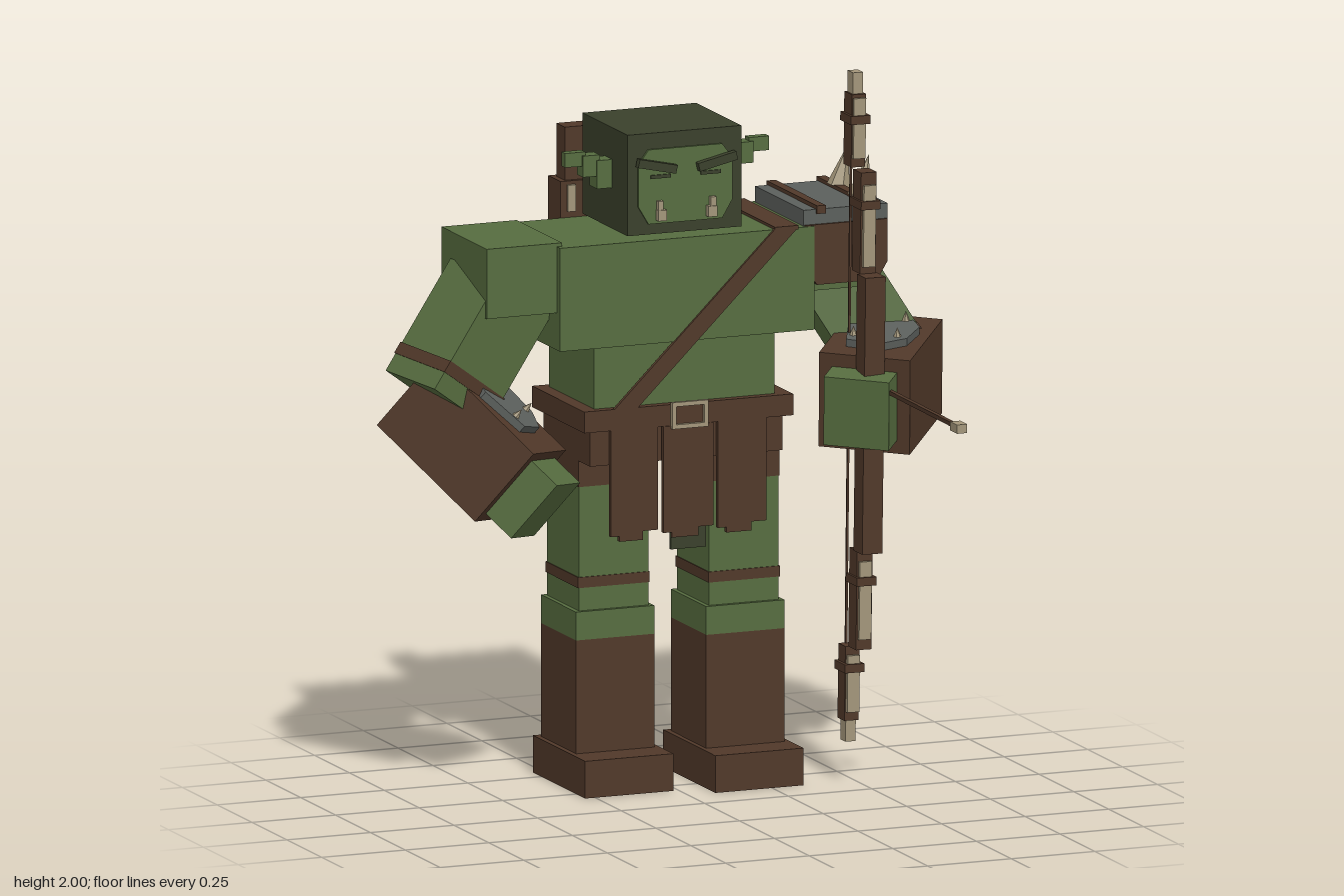
import * as THREE from 'three';

const material = (name, color) => {
  const m = new THREE.MeshStandardMaterial({ color });
  m.name = name;
  return m;
};

export function createModel() {
  const model = new THREE.Group();
  model.name = 'ogreArcher';
  const skin = material('green skin', 0x566c3f);
  const hood = material('dark green', 0x3a402b);
  const leather = material('brown leather', 0x503829);
  const iron = material('grey iron', 0x5b5f5c);
  const bone = material('bone', 0xa3967a);
  const V = (x, y, z) => new THREE.Vector3(x, y, z);

  const add = (name, geometry, mat, parent = model) => {
    const mesh = new THREE.Mesh(geometry, mat);
    mesh.name = name;
    parent.add(mesh);
    return mesh;
  };
  // Box given by its extents on each axis
  const box = (name, mat, x0, x1, y0, y1, z0, z1, parent) => {
    const mesh = add(name, new THREE.BoxGeometry(x1 - x0, y1 - y0, z1 - z0), mat, parent);
    mesh.position.set((x0 + x1) / 2, (y0 + y1) / 2, (z0 + z1) / 2);
    return mesh;
  };
  // Box running from a to b
  const bar = (name, mat, a, b, w, d) => {
    const dir = b.clone().sub(a);
    const mesh = add(name, new THREE.BoxGeometry(w, dir.length(), d), mat);
    mesh.position.copy(a).add(b).multiplyScalar(0.5);
    mesh.quaternion.setFromUnitVectors(V(0, 1, 0), dir.normalize());
    return mesh;
  };
  // Flat polygon, front at z
  const plate = (name, mat, points, z, depth, parent) => {
    const shape = new THREE.Shape(points.map(([x, y]) => new THREE.Vector2(x, y)));
    const mesh = add(name, new THREE.ExtrudeGeometry(shape, { depth, bevelEnabled: false }), mat, parent);
    mesh.position.z = z - depth;
    return mesh;
  };
  const spike = (name, r, h, parent) => {
    const g = new THREE.ConeGeometry(r, h, 6).toNonIndexed();
    g.translate(0, h / 2, 0);
    g.computeVertexNormals();
    return add(name, g, bone, parent);
  };

  // Legs, the left one a little ahead; f is the front of the boot
  for (const [side, c, f] of [['right', -0.148, -0.287], ['left', 0.212, -0.217]]) {
    const part = (name, mat, w, y0, y1, z0, z1) => box(side + name, mat, c - w, c + w, y0, y1, f + z0, f + z1);
    part('Foot', leather, 0.132, 0, 0.105, -0.273, 0.101);
    part('Boot', leather, 0.117, 0.105, 0.425, -0.253, 0);
    part('Knee', skin, 0.117, 0.425, 0.505, -0.253, 0);
    part('Thigh', skin, 0.104, 0.505, 0.86, -0.24, -0.012);
    part('ThighBand', leather, 0.107, 0.57, 0.6, -0.243, -0.009);
    part('Shorts', leather, 0.106, 0.855, 0.94, -0.242, -0.01);
  }

  // Hips, belt and loincloth
  box('hips', leather, -0.255, 0.32, 0.93, 1.035, -0.545, -0.21);
  box('belt', leather, -0.28, 0.345, 1.03, 1.09, -0.567, -0.192);
  const flaps = [[-0.2, -0.06, 0.74], [-0.045, 0.105, 0.74], [0.12, 0.265, 0.74]];
  flaps.forEach(([x0, x1, y], i) => {
    plate('loinFlap', leather, [[x0, 1.03], [x0, y - 0.01], [x0 + 0.025, y - 0.01], [x0 + 0.025, y - 0.025],
      [x1 - 0.045, y - 0.025], [x1 - 0.045, y], [x1, y], [x1, 1.03]], -0.192 + (i === 1 ? 0.004 : 0), 0.014);
  });
  box('loinLining', hood, -0.02, 0.085, 0.68, 0.75, -0.205, -0.195);
  for (const y of [1.022, 1.085]) box('buckleBar', bone, -0.022, 0.087, y, y + 0.012, -0.192, -0.18);
  for (const x of [-0.022, 0.075]) box('buckleSide', bone, x, x + 0.012, 1.034, 1.085, -0.192, -0.18);
  box('boneKnife', bone, -0.15, -0.12, 0.835, 0.99, -0.55, -0.525);

  // Torso with diagonal strap
  box('belly', skin, -0.24, 0.3, 1.08, 1.27, -0.54, -0.217);
  box('chest', skin, -0.35, 0.41, 1.265, 1.557, -0.566, -0.197);
  for (const z of [-0.196, -0.572]) {
    plate('chestStrap', leather, [[-0.19, 1.09], [-0.12, 1.09], [0.36, 1.56], [0.29, 1.56]], z + 0.006, 0.012);
  }
  box('strapTop', leather, 0.29, 0.36, 1.553, 1.565, -0.578, -0.19);

  // Quiver
  box('quiver', leather, -0.195, -0.08, 1.18, 1.66, -0.655, -0.565);
  box('quiverTop', leather, -0.178, -0.097, 1.66, 1.81, -0.637, -0.577);
  for (const x of [-0.165, -0.105]) box('quiverPeg', bone, x - 0.012, x + 0.012, 1.575, 1.65, -0.568, -0.555);

  // Head
  box('head', hood, -0.14, 0.2, 1.57, 1.855, -0.54, -0.217);
  plate('face', skin, [[-0.08, 1.6], [0.14, 1.6], [0.17, 1.65], [0.17, 1.77], [0.14, 1.81],
    [-0.08, 1.81], [-0.11, 1.77], [-0.11, 1.65]], -0.21, 0.008);
  for (const s of [-1, 1]) {
    const brow = box('brow', hood, -0.058, 0.058, -0.012, 0.012, -0.01, 0.01);
    brow.position.set(0.03 + s * 0.09, 1.765, -0.2);
    brow.rotation.z = s * 0.22;
    box('eye', hood, 0.03 + s * 0.075 - 0.03, 0.03 + s * 0.075 + 0.03, 1.728, 1.738, -0.212, -0.206);
    const tuskX = 0.03 + s * 0.075;
    box('tuskBase', bone, tuskX - 0.013, tuskX + 0.013, 1.61, 1.64, -0.214, -0.192);
    box('tuskTip', bone, tuskX + s * 0.004 - 0.008, tuskX + s * 0.004 + 0.008, 1.64, 1.665, -0.212, -0.196);
    // Stepped ear
    const ear = (a, b, y0, y1, d) => box('ear', skin, 0.03 + Math.min(s * a, s * b), 0.03 + Math.max(s * a, s * b),
      y0, y1, -0.355 - d, -0.355 + d);
    ear(0.165, 0.215, 1.685, 1.765, 0.027);
    ear(0.205, 0.255, 1.72, 1.78, 0.022);
    ear(0.245, 0.305, 1.75, 1.79, 0.014);
  }

  // Shoulders and upper arms
  box('rightShoulder', skin, -0.56, -0.335, 1.37, 1.567, -0.545, -0.22);
  box('leftShoulder', skin, 0.4, 0.62, 1.37, 1.56, -0.545, -0.22);
  const upperArm = (side, x, y, z, rx, rz, yaw) => {
    const arm = new THREE.Group();
    arm.name = side + 'UpperArm';
    arm.position.set(x, y, z);
    arm.rotation.set(rx, 0, rz);
    arm.rotateY(yaw);
    model.add(arm);
    box('arm', skin, -0.11, 0.11, -0.19, 0.17, -0.12, 0.12, arm);
    box('armBand', leather, -0.113, 0.113, -0.135, -0.1, -0.123, 0.123, arm);
  };
  upperArm('right', -0.55, 1.285, -0.36, -0.1, -0.61, 0.25);
  upperArm('left', 0.59, 1.275, -0.325, -0.28, 0.5, -0.25);

  // Left shoulder guard with spikes
  plate('shoulderLeather', leather, [[0.385, 1.44], [0.42, 1.39], [0.6, 1.39], [0.63, 1.44],
    [0.63, 1.56], [0.385, 1.56]], -0.2, 0.02);
  box('shoulderPlate', iron, 0.382, 0.633, 1.555, 1.602, -0.555, -0.207);
  for (const x of [0.433, 0.582]) box('plateStrap', leather, x - 0.013, x + 0.013, 1.59, 1.613, -0.562, -0.2);
  for (const z of [-0.308, -0.457]) {
    const s = spike('shoulderSpike', 0.033, 0.12);
    s.position.set(0.59, 1.605, z);
    s.rotation.z = -0.25;
  }

  // Gauntlets: local -y points towards the hand, local +z carries the iron plate
  const gauntlet = (side, centre, dir, roll, hs, hl, hu, hand) => {
    const d = dir.normalize();
    const s = V(d.z, 0, -d.x).normalize();
    const up = d.clone().negate();
    const g = new THREE.Group();
    g.name = side + 'Gauntlet';
    g.quaternion.setFromRotationMatrix(new THREE.Matrix4().makeBasis(s, up, s.clone().cross(up)));
    g.rotateY(roll);
    g.position.copy(centre);
    model.add(g);
    box('cuff', leather, -hs, hs, -hl, hl, -hu, hu, g);
    box('hand', skin, -0.093, 0.093, -hand, 0, -0.1, 0.1, g);
    plate('gauntletPlate', iron, [[-0.07, -0.11], [0.03, -0.12], [0.09, -0.06], [0.1, 0.04],
      [0.05, 0.12], [-0.05, 0.11], [-0.1, 0.03]], hu + 0.022, 0.03, g);
    for (const [x, y] of [[-0.06, -0.07], [0.06, -0.05], [0.05, 0.08], [-0.05, 0.07]]) {
      const stud = spike('gauntletStud', 0.012, 0.028, g);
      stud.position.set(x, y, hu + 0.02);
      stud.rotation.x = Math.PI / 2;
    }
  };
  gauntlet('right', V(-0.5625, 1.015, -0.325), V(0.5, -0.62, 0.6), 0.2, 0.13, 0.195, 0.128, 0.295);
  gauntlet('left', V(0.597, 1.105, -0.17), V(-0.6, -0.13, 0.78), 0.04, 0.13, 0.175, 0.138, 0.262);

  // Bow, leaning slightly in x
  const bowX = (y) => 0.48 + (y - 0.115) * 0.0135;
  const bowBox = (name, mat, w, y0, y1, z0, z1) => {
    const x = bowX((y0 + y1) / 2);
    const m = box(name, mat, x - w, x + w, y0, y1, z0, z1);
    m.rotation.z = -0.0135;
  };
  bowBox('bowGrip', leather, 0.03, 0.67, 1.45, -0.03, 0.033);
  bowBox('upperLimb', leather, 0.023, 1.45, 1.735, -0.083, -0.025);
  bowBox('lowerLimb', leather, 0.023, 0.39, 0.67, -0.075, -0.02);
  bowBox('upperLimbEnd', leather, 0.021, 1.735, 1.94, -0.158, -0.103);
  bowBox('lowerLimbEnd', leather, 0.021, 0.175, 0.385, -0.15, -0.1);
  bowBox('upperTip', bone, 0.015, 1.9, 2.0, -0.15, -0.112);
  bowBox('lowerTip', bone, 0.015, 0.115, 0.2, -0.142, -0.105);
  for (const [y0, y1, z] of [[1.47, 1.7, -0.014], [1.76, 1.93, -0.094], [0.42, 0.64, -0.01], [0.2, 0.36, -0.088]]) {
    bowBox('bowBonePlate', bone, 0.018, y0, y1, z - 0.016, z);
  }
  for (const [y, z0, z1] of [[1.645, -0.092, -0.008], [1.87, -0.166, -0.088], [0.585, -0.085, -0.003], [0.325, -0.158, -0.082]]) {
    bowBox('bowBinding', leather, 0.029, y - 0.012, y + 0.012, z0, z1);
  }
  bar('bowString', leather, V(bowX(0.2), 0.2, -0.145), V(bowX(1.76), 1.76, -0.155), 0.006, 0.006);

  // Arrow
  bar('arrowShaft', leather, V(0.53, 1.13, -0.15), V(0.498, 1.145, 0.62), 0.012, 0.012);
  box('arrowHead', bone, 0.482, 0.512, 1.133, 1.158, 0.605, 0.655);

  return model;
}
